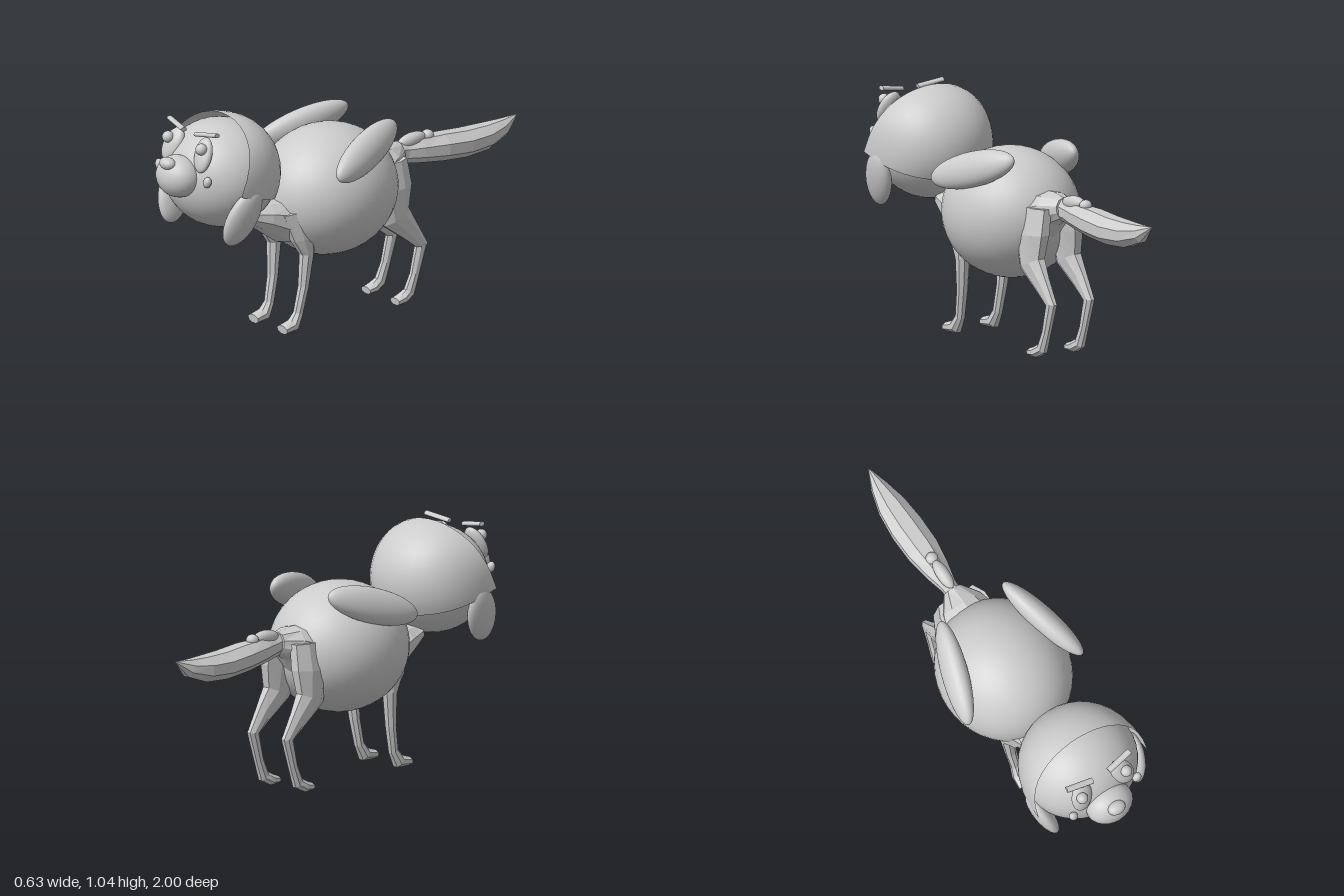
import * as THREE from 'three';

export function createModel() {
  const model = new THREE.Group();
  const grey = new THREE.MeshStandardMaterial({ color: 0xcccccc });
  const greyShell = new THREE.MeshStandardMaterial({ color: 0xcccccc, side: THREE.DoubleSide });
  grey.name = 'plain grey';
  greyShell.name = 'plain grey shell';

  function add(name, geometry, material = grey) {
    const mesh = new THREE.Mesh(geometry, material);
    mesh.name = name;
    model.add(mesh);
    return mesh;
  }

  // Smooth ellipsoid; its local y axis points along axis
  function ellipsoid(name, pos, radii, axis = [0, 1, 0], seg = 24) {
    const mesh = add(name, new THREE.SphereGeometry(1, seg, Math.round(seg * 0.7)));
    mesh.position.set(...pos);
    mesh.scale.set(...radii);
    mesh.quaternion.setFromUnitVectors(new THREE.Vector3(0, 1, 0), new THREE.Vector3(...axis).normalize());
    return mesh;
  }

  // Faceted limb through sections [x, y, z, halfWidth, halfDepth]
  function loft(name, sections, sides = 8, side = 1) {
    const pos = [], index = [], last = sections.length - 1;
    sections.forEach(([x, y, z, hx, hd], i) => {
      const a = sections[Math.max(i - 1, 0)], b = sections[Math.min(i + 1, last)];
      const len = Math.hypot(b[1] - a[1], b[2] - a[2]);
      const ty = (b[1] - a[1]) / len, tz = (b[2] - a[2]) / len;
      for (let j = 0; j < sides; j++) {
        const t = ((j + 0.5) / sides) * Math.PI * 2, d = hd * Math.sin(t);
        pos.push(x * side + hx * Math.cos(t), Math.max(0, y + tz * d), z - ty * d);
      }
    });
    for (let i = 0; i < last; i++) {
      for (let j = 0; j < sides; j++) {
        const a = i * sides + j, b = i * sides + ((j + 1) % sides);
        index.push(a, b, a + sides, b, b + sides, a + sides);
      }
    }
    for (let j = 1; j < sides - 1; j++) {
      index.push(0, j + 1, j, last * sides, last * sides + j, last * sides + j + 1);
    }
    const geo = new THREE.BufferGeometry();
    geo.setAttribute('position', new THREE.Float32BufferAttribute(pos, 3));
    geo.setIndex(index);
    const flat = geo.toNonIndexed();
    flat.computeVertexNormals();
    return add(name, flat);
  }

  // Fur cap: a wedge of a shell wrapped round the back of the head
  function capGeometry() {
    const nu = 20, nv = 14, oz = 0.78, oy = 0.755, cz = 0.662, cy = 0.79, r = 0.255;
    const start = THREE.MathUtils.degToRad(113.8), end = THREE.MathUtils.degToRad(196.7);
    const pos = [], index = [];
    for (let v = 0; v <= nv; v++) {
      const phi = start + ((end - start) * v) / nv;
      const dz = Math.cos(phi), dy = Math.sin(phi);
      const along = dz * (cz - oz) + dy * (cy - oy);
      const off2 = (cz - oz) ** 2 + (cy - oy) ** 2 - along * along;
      const reach = along + Math.sqrt(r * r - off2);
      for (let u = 0; u <= nu; u++) {
        const t = (u / nu) * Math.PI;
        const s = reach * Math.pow(Math.max(0, Math.sin(t)), 0.75);
        pos.push(0.285 * Math.cos(t), oy + s * dy, oz + s * dz);
      }
    }
    for (let v = 0; v < nv; v++) {
      for (let u = 0; u < nu; u++) {
        const a = v * (nu + 1) + u, b = a + nu + 1;
        index.push(a, a + 1, b, a + 1, b + 1, b);
      }
    }
    const geo = new THREE.BufferGeometry();
    geo.setAttribute('position', new THREE.Float32BufferAttribute(pos, 3));
    geo.setIndex(index);
    geo.computeVertexNormals();
    return geo;
  }

  // Round body over a faceted torso with a short neck
  ellipsoid('body', [0, 0.58, 0.067], [0.295, 0.29, 0.325], [0, 1, 0.06], 40);
  loft('torso', [
    [0, 0.56, 0.55, 0.07, 0.035], [0, 0.54, 0.45, 0.11, 0.07], [0, 0.5, 0.33, 0.14, 0.11],
    [0, 0.48, 0.2, 0.18, 0.145], [0, 0.53, 0, 0.16, 0.15], [0, 0.6, -0.17, 0.14, 0.13],
    [0, 0.65, -0.27, 0.1, 0.075], [0, 0.66, -0.34, 0.045, 0.05],
  ], 10);

  // Tail with a small bud above its root
  loft('tail', [
    [0, 0.66, -0.3, 0.035, 0.05], [0, 0.65, -0.37, 0.038, 0.05], [0, 0.645, -0.45, 0.058, 0.058],
    [0, 0.637, -0.57, 0.078, 0.065], [0, 0.627, -0.7, 0.08, 0.065], [0, 0.63, -0.82, 0.068, 0.06],
    [0, 0.65, -0.92, 0.04, 0.042], [0, 0.69, -1, 0.004, 0.004],
  ]);
  ellipsoid('tailBudStem', [0, 0.7, -0.41], [0.03, 0.075, 0.032], [0, 0.1, -1], 16);
  ellipsoid('tailBud', [0, 0.703, -0.5], [0.028, 0.025, 0.028], [0, 1, 0], 16);

  // Head, cap and muzzle
  ellipsoid('head', [0, 0.78, 0.665], [0.264, 0.24, 0.247], [0, 1, 0], 40);
  add('furCap', capGeometry(), greyShell);
  ellipsoid('muzzle', [0, 0.81, 0.905], [0.11, 0.093, 0.09]);
  ellipsoid('nose', [0, 0.88, 0.965], [0.042, 0.027, 0.032], [0, 1, 0], 16);

  // Mirrored parts
  for (const s of [1, -1]) {
    const name = (part) => (s > 0 ? 'left' : 'right') + part;
    ellipsoid(name('Ear'), [s * 0.237, 0.64, 0.735], [0.04, 0.137, 0.083], [s * 0.06, 0.23, -0.1]);
    ellipsoid(name('EyePatch'), [s * 0.105, 0.92, 0.848], [0.05, 0.08, 0.028], [s * -0.035, 0.13, -0.06]);
    ellipsoid(name('Pupil'), [s * 0.115, 0.953, 0.868], [0.026, 0.026, 0.026], [0, 1, 0], 16);
    ellipsoid(name('CheekSpot'), [s * 0.165, 0.815, 0.875], [0.02, 0.026, 0.018], [s * 0.4, 1, 0], 16);
    ellipsoid(name('Wing'), [s * 0.23, 0.8, 0.03], [0.055, 0.235, 0.08], [s * -0.13, 0.13, -0.41], 32);

    // Slanting eyebrow rod
    const brow = add(name('Brow'), new THREE.CylinderGeometry(0.01, 0.01, 0.126, 12));
    brow.position.set(s * 0.103, 1.008, 0.828);
    brow.quaternion.setFromUnitVectors(
      new THREE.Vector3(0, 1, 0), new THREE.Vector3(s * 0.125, 0.02, -0.02).normalize());
    brow.scale.z = 1.5;

    loft(name('FrontLeg'), [
      [0.1, 0.56, 0.31, 0.045, 0.1], [0.11, 0.43, 0.29, 0.043, 0.065], [0.113, 0.35, 0.272, 0.034, 0.035],
      [0.106, 0.2, 0.285, 0.027, 0.025], [0.1, 0.08, 0.31, 0.023, 0.024],
      [0.1, 0.03, 0.34, 0.033, 0.032], [0.1, 0.021, 0.4, 0.037, 0.021],
    ], 8, s);
    loft(name('HindLeg'), [
      [0.07, 0.66, -0.22, 0.05, 0.1], [0.09, 0.54, -0.22, 0.055, 0.11], [0.097, 0.41, -0.235, 0.045, 0.08],
      [0.1, 0.33, -0.315, 0.03, 0.05], [0.1, 0.25, -0.382, 0.022, 0.034], [0.1, 0.12, -0.345, 0.02, 0.025],
      [0.1, 0.045, -0.315, 0.024, 0.03], [0.1, 0.024, -0.275, 0.033, 0.026], [0.1, 0.018, -0.235, 0.033, 0.018],
    ], 8, s);
  }
  return model;
}
